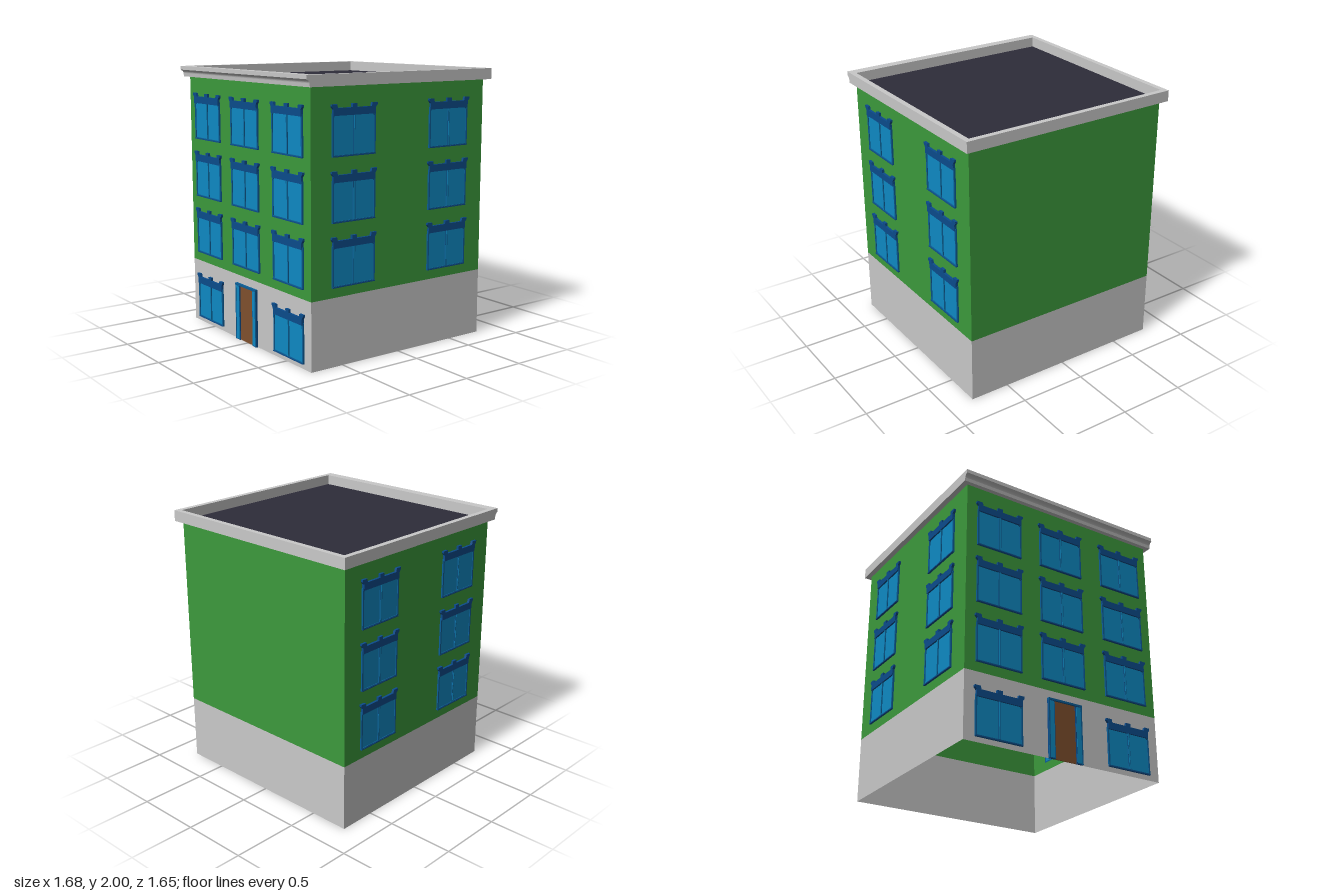
import * as THREE from 'three';

const mat = (name, color, side = THREE.FrontSide) => {
  const m = new THREE.MeshStandardMaterial({ color, side });
  m.name = name;
  return m;
};

export function createModel() {
  const green = mat('green wall', 0x3c9a3c, THREE.DoubleSide);
  const stone = mat('pale stone', 0xc9c9c9, THREE.DoubleSide);
  const slate = mat('dark roof', 0x2e2c3a, THREE.DoubleSide);
  const glassBlue = mat('glass blue', 0x0e8ac4);
  const frameBlue = mat('frame blue', 0x0b5f98);
  const deepBlue = mat('deep blue', 0x0b4c8c);
  const brown = mat('door brown', 0x80502d);

  const model = new THREE.Group();
  model.name = 'townhouse';

  const add = (parent, name, geometry, material, x = 0, y = 0, z = 0) => {
    const mesh = new THREE.Mesh(geometry, material);
    mesh.name = name;
    mesh.position.set(x, y, z);
    parent.add(mesh);
    return mesh;
  };
  const box = (parent, name, material, x0, x1, y0, y1, z0, z1) =>
    add(parent, name, new THREE.BoxGeometry(x1 - x0, y1 - y0, z1 - z0), material,
      (x0 + x1) / 2, (y0 + y1) / 2, (z0 + z1) / 2);
  const polygon = pts => new THREE.Shape(pts.map(p => new THREE.Vector2(...p)));
  const extrude = (shape, depth) =>
    new THREE.ExtrudeGeometry(shape, { depth, bevelEnabled: false });

  // Open wall shells, one per storey band
  const FRONT = 0.765, BACK = -0.78, SIDE = 0.8;
  const shell = (name, material, y0, y1) => {
    const r = Math.SQRT1_2;
    const g = new THREE.CylinderGeometry(r, r, 1, 4, 1, true)
      .rotateY(Math.PI / 4).scale(SIDE * 2, y1 - y0, FRONT - BACK).toNonIndexed();
    g.computeVertexNormals();
    add(model, name, g, material, 0, (y0 + y1) / 2, (FRONT + BACK) / 2);
  };
  shell('groundFloorWalls', stone, 0, 0.49);
  shell('upperWalls', green, 0.49, 1.925);

  // Flat roof sunk inside the parapet
  add(model, 'roof', new THREE.PlaneGeometry(1.6, 1.545).rotateX(-Math.PI / 2),
    slate, 0, 1.925, -0.0125);

  // Parapet: plain at the sides and back, moulded at the front
  for (const s of [-1, 1]) {
    box(model, 'sideParapet', stone, Math.min(s * 0.8, s * 0.84), Math.max(s * 0.8, s * 0.84),
      1.92, 2, -0.825, 0.756);
  }
  box(model, 'backParapet', stone, -0.8, 0.8, 1.92, 2, -0.825, -0.785);
  const cornice = new THREE.Shape();
  cornice.moveTo(0.755, 1.92);
  cornice.lineTo(0.797, 1.92);
  cornice.lineTo(0.8, 1.945);
  cornice.quadraticCurveTo(0.803, 1.962, 0.825, 1.972);
  cornice.lineTo(0.825, 2);
  cornice.lineTo(0.755, 2);
  add(model, 'frontCornice', extrude(cornice, 1.68).rotateY(-Math.PI / 2), stone, 0.84);

  // Shared window shapes, measured from the middle of the sill
  const W = 0.182;
  const frameShape = polygon([[-W, 0], [W, 0], [W, 0.29], [-W, 0.29]]);
  for (const s of [-1, 1]) {
    const a = s * 0.01, b = s * 0.17, c = s * 0.161;
    frameShape.holes.push(polygon([
      [a, 0.012], [b, 0.012], [b, 0.263], [c, 0.274], [a, 0.274]]));
  }
  const frameGeometry = extrude(frameShape, 0.012);
  const half = [[0.178, 0.274], [0.178, 0.318], [0.192, 0.336], [0.192, 0.35],
    [0.148, 0.35], [0.142, 0.325], [0.02, 0.325], [0.02, 0.35]];
  const lintelGeometry = extrude(
    polygon([...half, ...half.map(([x, y]) => [-x, y]).reverse()]), 0.018);

  const addWindow = (x, y, z, turn) => {
    const w = new THREE.Group();
    w.name = 'window';
    add(w, 'windowFrame', frameGeometry, frameBlue);
    add(w, 'lintel', lintelGeometry, deepBlue);
    for (const s of [-1, 1]) {
      box(w, 'glassPane', glassBlue, s * 0.09 - 0.082, s * 0.09 + 0.082, 0.01, 0.278, 0, 0.006);
    }
    box(w, 'mullion', glassBlue, -0.005, 0.005, 0.012, 0.274, 0.01, 0.015);
    box(w, 'sill', deepBlue, -W, W, 0, 0.007, 0, 0.015);
    w.position.set(x, y, z);
    w.rotation.y = turn;
    model.add(w);
  };

  // Ground-floor windows flank the door; three storeys above
  for (const x of [-0.535, 0.535]) addWindow(x, 0.037, FRONT, 0);
  for (const y of [0.56, 1.005, 1.45]) {
    for (const x of [-0.535, -0.01, 0.535]) addWindow(x, y, FRONT, 0);
    for (const z of [0.415, -0.437]) {
      for (const s of [-1, 1]) addWindow(s * SIDE, y, z, s * Math.PI / 2);
    }
  }

  // Front door with panelled jambs
  const door = new THREE.Group();
  door.name = 'frontDoor';
  door.position.set(-0.01, 0, FRONT);
  model.add(door);
  box(door, 'doorLeaf', brown, -0.088, 0.088, 0, 0.416, 0, 0.007);
  box(door, 'doorHead', frameBlue, -0.138, 0.138, 0.416, 0.43, 0, 0.02);
  for (const s of [-1, 1]) {
    const x = s * 0.112;
    box(door, 'jamb', deepBlue, x - 0.026, x + 0.026, 0, 0.418, 0, 0.014);
    box(door, 'jambPanel', glassBlue, x - 0.02, x + 0.02, 0.006, 0.412, 0.013, 0.017);
    box(door, 'jambEdge', frameBlue, s * 0.133 - 0.005, s * 0.133 + 0.005, 0, 0.42, 0, 0.019);
  }
  return model;
}
